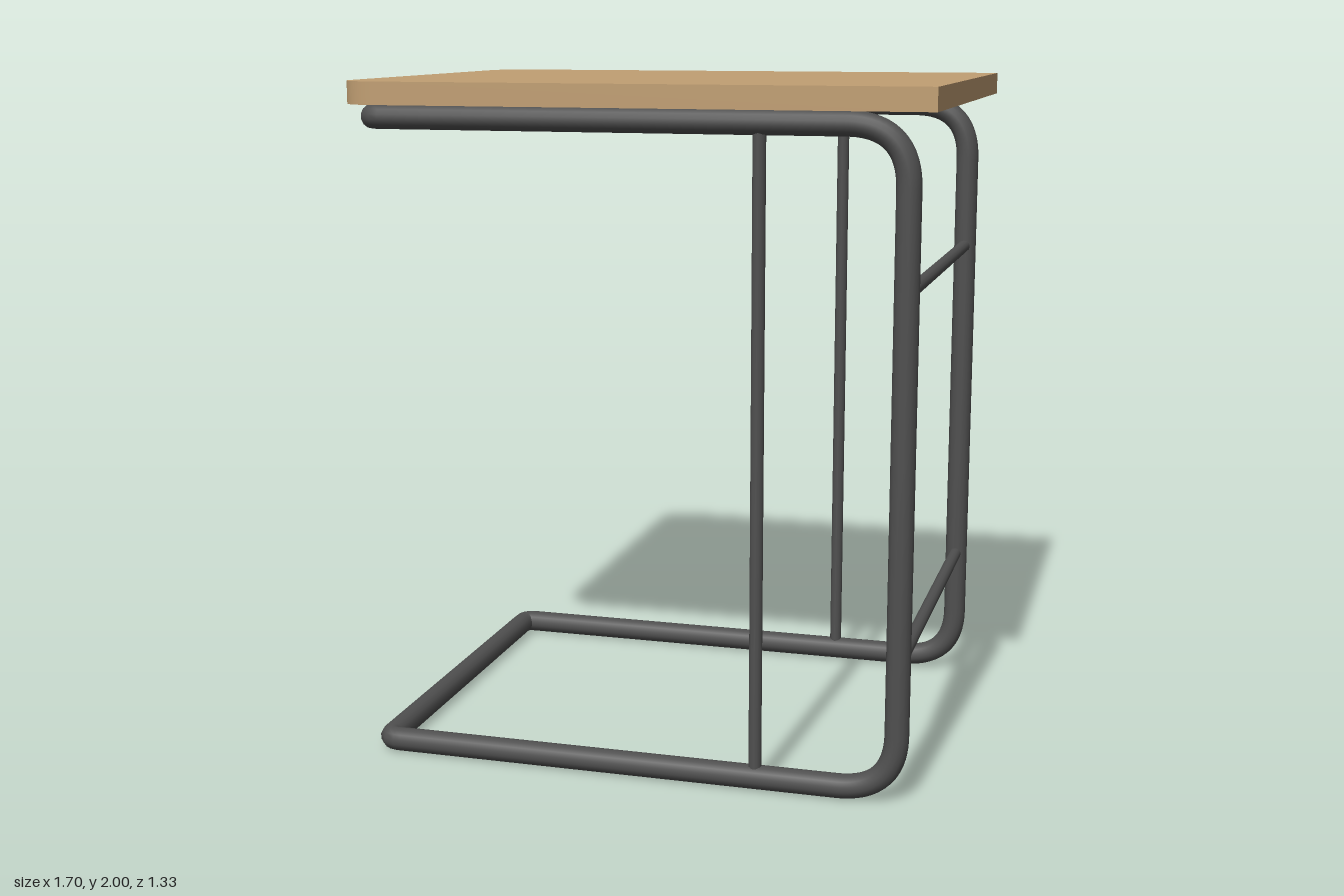
import * as THREE from 'three';

export function createModel() {
  const group = new THREE.Group();
  const wood = new THREE.MeshStandardMaterial({ color: 0xc19f73 });
  wood.name = 'wood';
  const metal = new THREE.MeshStandardMaterial({ color: 0x505050 });
  metal.name = 'darkMetal';

  const add = (name, geometry, material) => {
    const mesh = new THREE.Mesh(geometry, material);
    mesh.name = name;
    group.add(mesh);
    return mesh;
  };

  // Table top: rounded on the open side, square over the uprights
  const X = 0.85, Z = 0.665, R = 0.11, thickness = 0.065;
  const shape = new THREE.Shape();
  shape.moveTo(X, -Z);
  shape.lineTo(X, Z);
  shape.lineTo(-X + R, Z);
  shape.absarc(-X + R, Z - R, R, Math.PI / 2, Math.PI, false);
  shape.lineTo(-X, -Z + R);
  shape.absarc(-X + R, -Z + R, R, Math.PI, Math.PI * 1.5, false);
  const topGeometry = new THREE.ExtrudeGeometry(shape, { depth: thickness, bevelEnabled: false, curveSegments: 12 });
  topGeometry.rotateX(-Math.PI / 2).translate(0, 2 - thickness, 0);
  add('tableTop', topGeometry, wood);

  // Frame: one closed loop of bent tube, wide bends at the uprights
  const left = -0.777, right = 0.77, low = 0.036, high = 1.9, side = 0.596, radius = 0.035;
  const corners = [
    [left, low, side], [right, low, side], [right, high, side], [left, high, side],
    [left, high, -side], [right, high, -side], [right, low, -side], [left, low, -side],
  ].map((p) => new THREE.Vector3(...p));
  const towards = (from, to, d) => to.clone().sub(from).setLength(d).add(from);
  const bends = corners.map((c, i) => {
    const d = c.x > 0 ? 0.17 : 0.035;
    const before = corners[(i + 7) % 8], after = corners[(i + 1) % 8];
    return new THREE.QuadraticBezierCurve3(towards(c, before, d), c, towards(c, after, d));
  });
  const path = new THREE.CurvePath();
  bends.forEach((bend, i) => {
    path.add(bend);
    path.add(new THREE.LineCurve3(bend.v2, bends[(i + 1) % 8].v0));
  });
  path.arcLengthDivisions = 2000;
  add('tubeFrame', new THREE.TubeGeometry(path, 700, radius, 14, true), metal);

  // Thin vertical rods between the upper and lower rails
  for (const s of [1, -1]) {
    const rod = add(s > 0 ? 'frontRod' : 'backRod', new THREE.CylinderGeometry(0.019, 0.019, high - low, 12), metal);
    rod.position.set(0.362, (high + low) / 2, s * side);
  }

  // Cross bars between the uprights
  for (const [name, y] of [['upperCrossBar', 1.447], ['lowerCrossBar', 0.412]]) {
    const bar = add(name, new THREE.CylinderGeometry(0.019, 0.019, side * 2, 12), metal);
    bar.rotation.x = Math.PI / 2;
    bar.position.set(right, y, 0);
  }

  return group;
}
